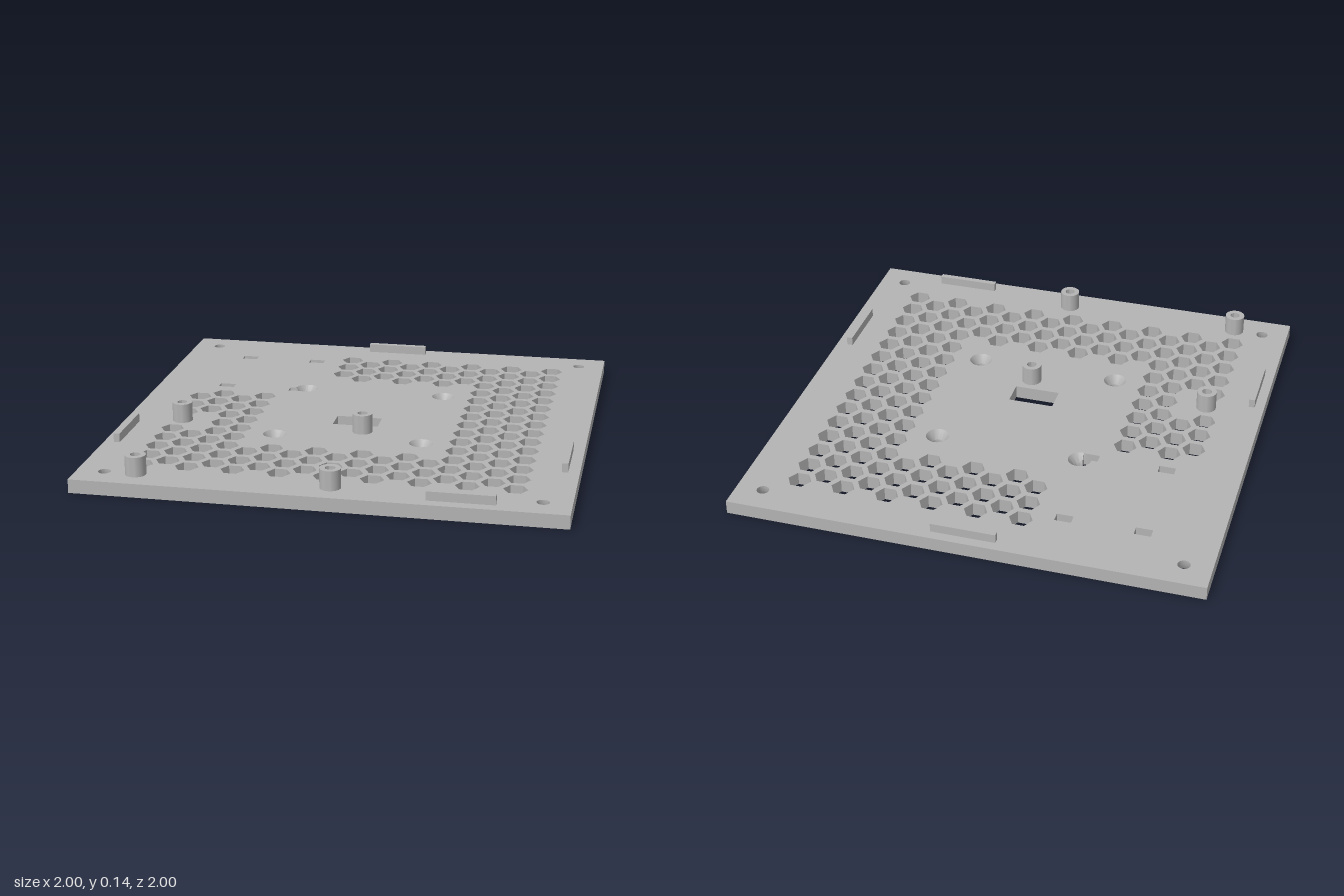
import * as THREE from 'three';
import { mergeGeometries, toCreasedNormals } from 'three/addons/utils/BufferGeometryUtils.js';

const T = 0.058; // plate thickness

// Loops are [x, z] points, all running from +x towards +z.
const ring = (x, z, r, n = 32) => Array.from({ length: n }, (_, i) => {
  const a = (i / n) * Math.PI * 2;
  return [x + r * Math.cos(a), z + r * Math.sin(a)];
});
const rect = (x, z, w, d) => [[1, -1], [1, 1], [-1, 1], [-1, -1]]
  .map(([i, j]) => [x + (i * w) / 2, z + (j * d) / 2]);

// Outline of a circle joined with a rectangle, swept around a point inside both.
function circleAndSlot(cx, cz, r, slot) {
  const [sx, sz, w, d] = slot, px = -0.327, pz = -0.309;
  const angles = Array.from({ length: 72 }, (_, i) => (i / 72) * Math.PI * 2 - Math.PI + 0.003);
  rect(...slot).forEach(([x, z]) => angles.push(Math.atan2(z - pz, x - px)));
  return angles.sort((a, b) => a - b).map((a) => {
    const c = Math.cos(a), s = Math.sin(a);
    const ox = px - cx, oz = pz - cz, b = ox * c + oz * s;
    const tCircle = -b + Math.sqrt(b * b - (ox * ox + oz * oz - r * r));
    const tx = (sx + Math.sign(c) * w / 2 - px) / c;
    const tz = (sz + Math.sign(s) * d / 2 - pz) / s;
    const t = Math.max(tCircle, Math.min(tx, tz));
    return [px + t * c, pz + t * s];
  });
}

// Wall through a stack of [y, loop] levels, facing into the loop.
function wall(levels) {
  const pos = [];
  for (let k = 0; k + 1 < levels.length; k++) {
    const [y0, lo] = levels[k], [y1, hi] = levels[k + 1];
    lo.forEach((p, i) => {
      const j = (i + 1) % lo.length;
      const a = [p[0], y0, p[1]], b = [lo[j][0], y0, lo[j][1]];
      const c = [hi[j][0], y1, hi[j][1]], d = [hi[i][0], y1, hi[i][1]];
      pos.push(...a, ...b, ...c, ...a, ...c, ...d);
    });
  }
  const g = new THREE.BufferGeometry();
  g.setAttribute('position', new THREE.Float32BufferAttribute(pos, 3));
  g.computeVertexNormals();
  return toCreasedNormals(g, 0.6);
}

// Flat face of the plate with its holes.
function face(outline, loops, up) {
  const pts = (l) => l.map(([x, z]) => new THREE.Vector2(x, up ? -z : z));
  const shape = new THREE.Shape(pts(outline));
  loops.forEach((l) => shape.holes.push(new THREE.Path(pts(l))));
  const g = new THREE.ShapeGeometry(shape).toNonIndexed();
  g.deleteAttribute('uv');
  return g.rotateX(up ? -Math.PI / 2 : Math.PI / 2).translate(0, up ? T : 0, 0);
}

// Ranges of rows cut in each column of the honeycomb.
function rowsFor(k) {
  const odd = k % 2 !== 0;
  if (k >= 5) return odd ? [[-6.5, 6.5]] : [[-7, 7]];
  if (k === -8) return [[-1, 1], [3, 7]];
  if (k === -7) return [[-1.5, 0.5], [3.5, 6.5]];
  if (k <= -5) return odd ? [[-1.5, 6.5]] : [[-1, 7]];
  const bottom = odd ? [4.5, 6.5] : [5, 7];
  const top = odd ? [-6.5, -4.5] : [-7, -5];
  return k <= -3 ? [bottom] : [top, bottom];
}

export function createModel() {
  const group = new THREE.Group();
  const grey = new THREE.MeshStandardMaterial({ color: 0xb4b4b4 });
  grey.name = 'grey';
  const add = (name, geometry, x = 0, y = 0, z = 0) => {
    const m = new THREE.Mesh(geometry, grey);
    m.name = name;
    m.position.set(x, y, z);
    group.add(m);
  };

  // Every hole is a stack of levels from the underside to the top
  const holes = [];
  const straight = (loop) => holes.push([[0, loop], [T, loop]]);

  // Honeycomb vents
  for (let k = -8; k <= 8; k++) {
    for (const [from, to] of rowsFor(k)) {
      for (let m = from; m <= to; m++) straight(ring(k * 0.0957, m * 0.1105 - 0.004, 0.05, 6));
    }
  }

  // Cable slots and the central window
  const slot = [-0.358, -0.291, 0.07, 0.043];
  straight(rect(-0.687, -0.728, 0.07, 0.043));
  straight(rect(-0.358, -0.728, 0.07, 0.043));
  straight(rect(-0.687, -0.291, 0.07, 0.043));
  straight(rect(0, 0.092, 0.197, 0.11));

  // Screw holes: corners countersunk below, inner ones countersunk above
  for (const sx of [-1, 1]) {
    for (const sz of [-1, 1]) {
      const corner = (r) => ring(sx * 0.885, sz * 0.885, r);
      holes.push([[0, corner(0.047)], [0.035, corner(0.026)], [T, corner(0.026)]]);
      const x = sx * 0.316, z = sz * 0.316;
      const joined = sx < 0 && sz < 0; // this one runs into a cable slot
      const inner = (r) => (joined ? circleAndSlot(x, z, r, slot) : ring(x, z, r));
      holes.push([[0, inner(0.025)], [0.02, inner(0.025)], [T, inner(0.05)]]);
    }
  }

  // Plate
  const outline = rect(0, 0, 2, 2);
  const rim = [...outline].reverse();
  add('perforatedPlate', mergeGeometries([
    face(outline, holes.map((h) => h[h.length - 1][1]), true),
    face(outline, holes.map((h) => h[0][1]), false),
    wall([[0, rim], [T, rim]]),
    ...holes.map(wall),
  ]));

  // Hollow standoffs
  const profile = [[0.043, T], [0.043, 0.141], [0.021, 0.141], [0.021, T]]
    .map(([r, y]) => new THREE.Vector2(r, y));
  const standoff = toCreasedNormals(new THREE.LatheGeometry(profile, 32), 0.6);
  for (const x of [-0.752, 0.046]) {
    for (const z of [0.217, 0.887]) add('standoff', standoff, x, 0, z);
  }

  // Locating ribs along the edges
  const ribHeight = 0.038;
  const along = new THREE.BoxGeometry(0.273, ribHeight, 0.026);
  const across = new THREE.BoxGeometry(0.026, ribHeight, 0.273);
  const y = T + ribHeight / 2;
  add('backRib', along, -0.002, y, -0.945);
  add('frontRib', along, 0.573, y, 0.94);
  add('rightRib', across, -0.945, y, 0.409);
  add('leftRib', across, 0.94, y, 0.409);
  return group;
}
